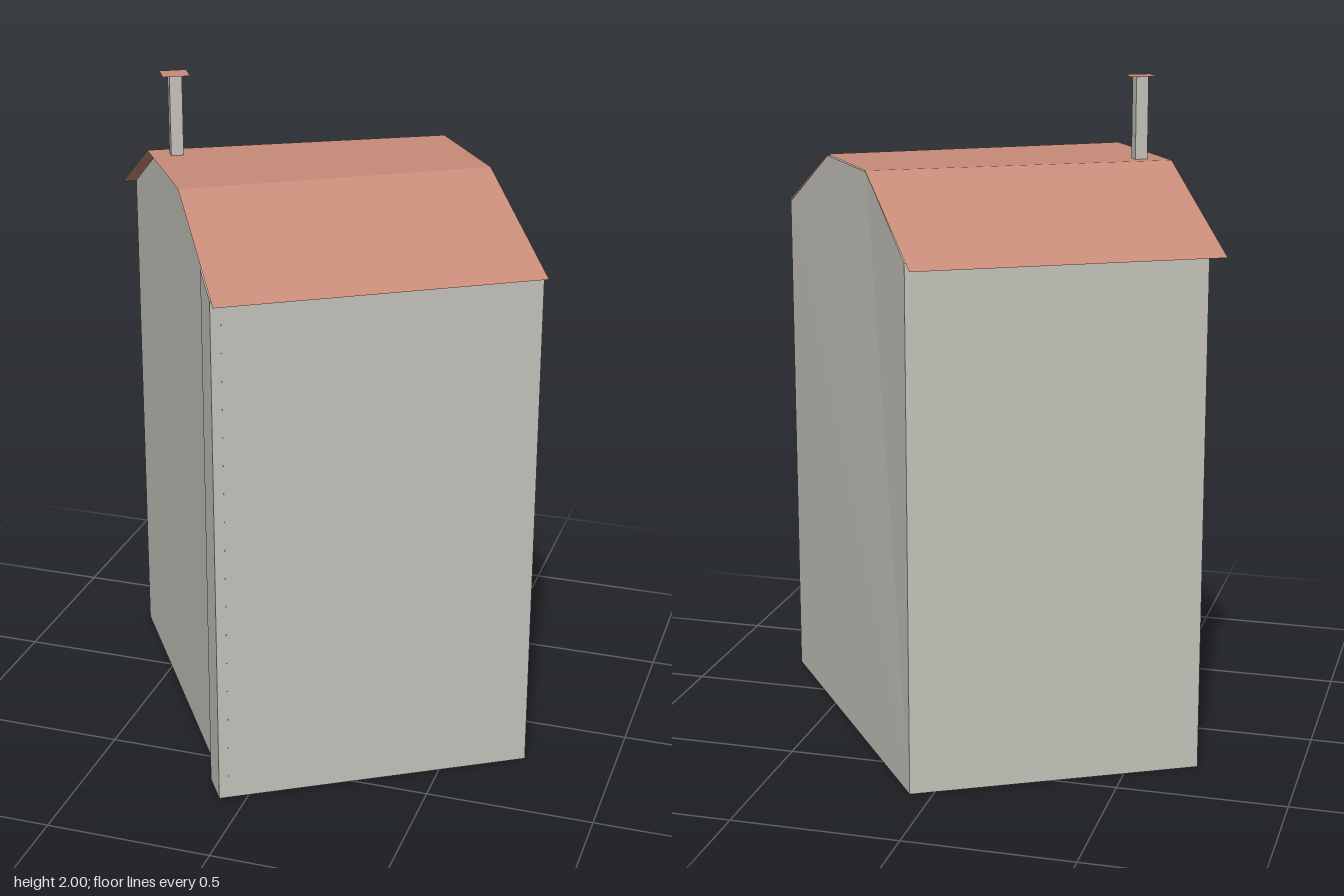
import * as THREE from 'three';

// Flat-faced solid between two matching rings; near ring runs clockwise seen from its own side.
function loft(near, far) {
  const pos = [];
  const tri = (...pts) => pts.forEach((p) => pos.push(...p));
  const n = near.length;
  for (let i = 1; i < n - 1; i++) {
    tri(near[0], near[i + 1], near[i]);
    tri(far[0], far[i], far[i + 1]);
  }
  for (let i = 0; i < n; i++) {
    const j = (i + 1) % n;
    tri(near[i], near[j], far[j]);
    tri(near[i], far[j], far[i]);
  }
  return flat(pos);
}

function flat(pos) {
  const g = new THREE.BufferGeometry();
  g.setAttribute('position', new THREE.Float32BufferAttribute(pos, 3));
  g.computeVertexNormals();
  return g;
}

export function createModel() {
  const model = new THREE.Group();
  model.name = 'house';

  const wallMat = new THREE.MeshStandardMaterial({ color: 0xc5c3bb });
  wallMat.name = 'grey plaster';
  const roofMat = new THREE.MeshStandardMaterial({ color: 0xc78a77, side: THREE.DoubleSide });
  roofMat.name = 'terracotta';

  const add = (name, geometry, material) => {
    const mesh = new THREE.Mesh(geometry, material);
    mesh.name = name;
    model.add(mesh);
    return mesh;
  };

  // Walls: six-sided gable section, slightly set back under the near roof edge
  add('walls', loft(
    [[-0.7, 0, -0.29], [-0.7, 1.555, -0.29], [-0.495, 1.753, 0.015],
      [-0.265, 1.753, 0.365], [-0.051, 1.555, 0.698], [-0.051, 0, 0.698]],
    [[0.065, 0, -0.702], [0.065, 1.555, -0.702], [0.272, 1.753, -0.4],
      [0.49, 1.753, -0.11], [0.732, 1.555, 0.216], [0.732, 0, 0.216]],
  ), wallMat);

  // Narrow projecting strip at the front corner
  const strip = [[-0.137, 0, 0.621], [-0.137, 1.612, 0.621], [-0.076, 1.56, 0.714], [-0.076, 0, 0.714]];
  add('cornerStrip', loft(strip, strip.map(([x, y, z]) => [x + 0.026, y, z - 0.017])), wallMat);

  // Thin roof: back slope, flat top, front slope
  const left = [[-0.755, 1.54, -0.31], [-0.525, 1.757, 0.035], [-0.292, 1.757, 0.38], [-0.058, 1.55, 0.738]];
  const right = [[0.038, 1.54, -0.742], [0.275, 1.757, -0.4], [0.492, 1.757, -0.108], [0.75, 1.553, 0.238]];
  ['backSlope', 'flatTop', 'frontSlope'].forEach((name, i) => {
    const [a, b, c, d] = [left[i], left[i + 1], right[i + 1], right[i]];
    add(name, flat([a, b, c, a, c, d].flat()), roofMat);
  });

  // Chimney with a flat cap
  const shaft = add('chimneyShaft', new THREE.BoxGeometry(0.037, 0.25, 0.037), wallMat);
  shaft.position.set(-0.427, 1.874, 0.045);
  shaft.rotation.y = Math.PI / 6;

  const cap = add('chimneyCap', new THREE.PlaneGeometry(0.08, 0.08).rotateX(-Math.PI / 2), roofMat);
  cap.position.set(-0.427, 2, 0.045);
  cap.rotation.y = Math.PI / 6;

  return model;
}
